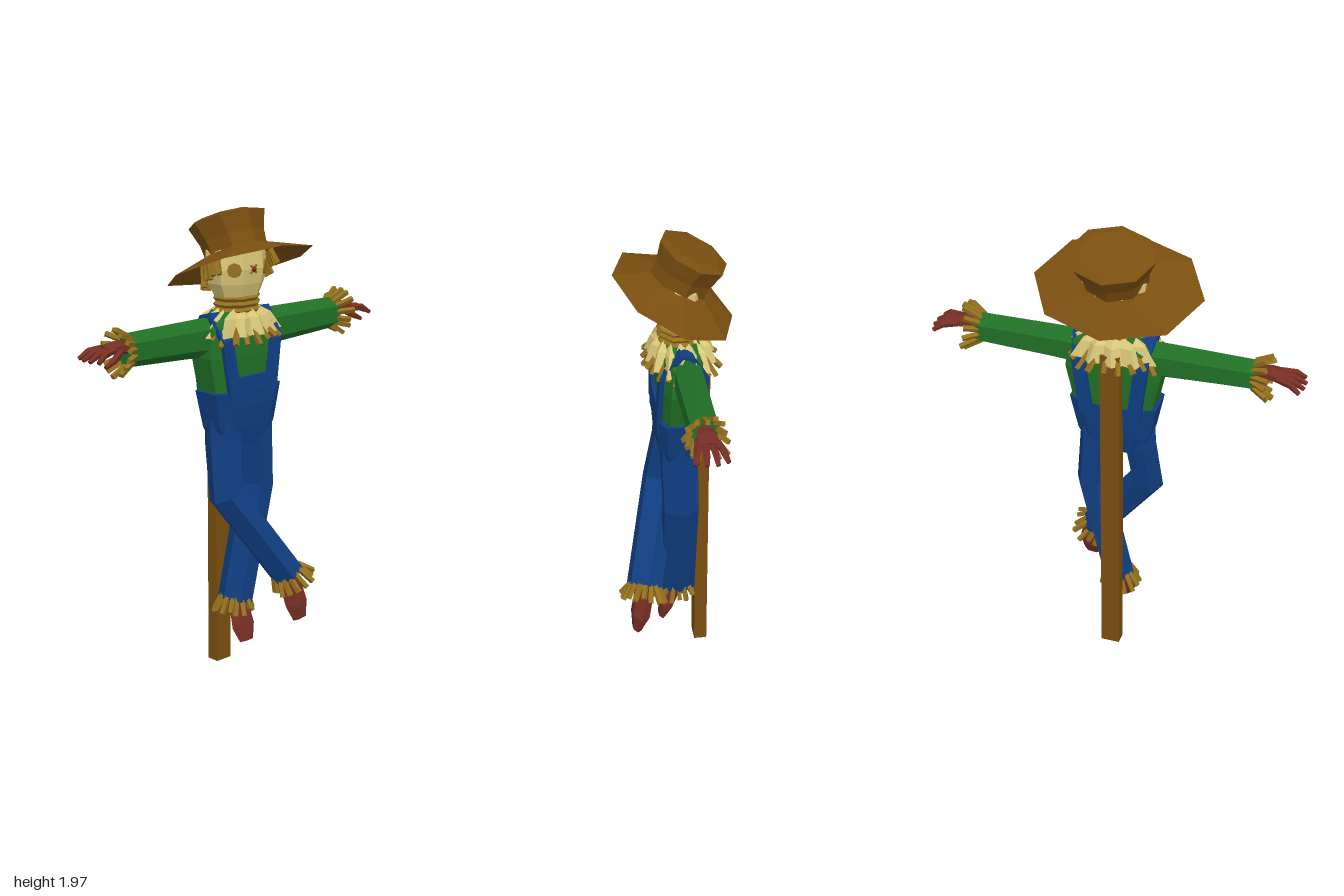
import * as THREE from 'three';

const mat = (name, color, side = THREE.FrontSide) => {
  const m = new THREE.MeshStandardMaterial({ color, side, flatShading: true });
  m.name = name;
  return m;
};
const V = (x, y, z) => new THREE.Vector3(x, y, z);

// Ring of points: centre + u cos + v sin; power < 1 makes it boxier, scale varies by index
function ring(c, u, v, n, phase = 0, power = 1, scale = () => 1) {
  const bend = (t) => Math.sign(t) * Math.abs(t) ** power;
  return Array.from({ length: n }, (_, i) => {
    const a = phase + (i / n) * Math.PI * 2, k = scale(i);
    return c.clone().addScaledVector(u, bend(Math.cos(a)) * k).addScaledVector(v, bend(Math.sin(a)) * k);
  });
}

// Skin through successive rings, optionally capped
function loft(rings, caps = true) {
  const pos = [];
  const tri = (...p) => p.forEach((q) => pos.push(q.x, q.y, q.z));
  const n = rings[0].length;
  for (let r = 0; r < rings.length - 1; r++) {
    for (let i = 0; i < n; i++) {
      const j = (i + 1) % n, A = rings[r], B = rings[r + 1];
      tri(A[i], A[j], B[j]);
      tri(A[i], B[j], B[i]);
    }
  }
  if (caps) {
    const first = rings[0], last = rings[rings.length - 1];
    for (let i = 1; i < n - 1; i++) {
      tri(first[0], first[i + 1], first[i]);
      tri(last[0], last[i], last[i + 1]);
    }
  }
  const g = new THREE.BufferGeometry();
  g.setAttribute('position', new THREE.Float32BufferAttribute(pos, 3));
  g.computeVertexNormals();
  return g;
}

// Upright body from [y, rx, rz, z] levels, bottom to top
const body = (levels, n, power = 1, caps = true, scale) =>
  loft(levels.map(([y, rx, rz, z]) =>
    ring(V(0, y, z), V(0, 0, rz), V(rx, 0, 0), n, Math.PI / n, power, scale)), caps);

// Limb through [x, y, z, ru, rv] stations; ru lies along the hint direction
function limb(stations, hint, n = 6, phase = 0) {
  const p = stations.map((s) => V(s[0], s[1], s[2]));
  return loft(stations.map((s, i) => {
    const t = p[Math.min(i + 1, p.length - 1)].clone().sub(p[Math.max(i - 1, 0)]).normalize();
    const u = hint.clone().addScaledVector(t, -hint.dot(t)).normalize();
    const v = t.clone().cross(u);
    return ring(p[i], u.multiplyScalar(s[3]), v.multiplyScalar(s[4]), n, phase);
  }));
}

export function createModel() {
  const model = new THREE.Group();
  model.name = 'scarecrow';
  const wood = mat('brown', 0x7a4e10);
  const hatBrown = mat('hat brown', 0x7a4e10, THREE.DoubleSide);
  const straw = mat('straw gold', 0x94701e);
  const sack = mat('sackcloth', 0xd8c678, THREE.DoubleSide);
  const green = mat('shirt green', 0x207026);
  const blue = mat('denim blue', 0x103e82);
  const red = mat('glove red', 0x762e24);
  const X = V(1, 0, 0), Y = V(0, 1, 0), Z = V(0, 0, 1);

  const add = (name, geo, material, parent = model) => {
    const m = new THREE.Mesh(geo, material);
    m.name = name;
    parent.add(m);
    return m;
  };
  let seed = 7;
  const rnd = () => (seed = (seed * 16807) % 2147483647) / 2147483647;

  // Fan of straws around an axis
  function fan(name, c, axis, u, v, count, len, flare, from = 0, sweep = Math.PI * 2, parent = model) {
    const group = new THREE.Group();
    group.name = name;
    parent.add(group);
    for (let i = 0; i < count; i++) {
      const a = from + ((i + 0.3 * rnd()) / count) * sweep;
      const rad = u.clone().multiplyScalar(Math.cos(a)).addScaledVector(v, Math.sin(a));
      const l = len * (0.75 + 0.5 * rnd());
      const dir = axis.clone().addScaledVector(rad.clone().normalize(), flare * (0.6 + 0.8 * rnd())).normalize();
      const s = add('straw', new THREE.BoxGeometry(0.018, l, 0.018), straw, group);
      s.position.copy(c).add(rad).addScaledVector(dir, l * 0.4);
      s.quaternion.setFromUnitVectors(Y, dir);
    }
  }

  // Post
  add('post', new THREE.BoxGeometry(0.08, 1.5, 0.055), wood).position.set(-0.01, 0.75, -0.128);

  // Shirt body and overalls
  add('shirtBody', body([[1.15, 0.165, 0.08, -0.025], [1.24, 0.175, 0.088, -0.028], [1.38, 0.205, 0.09, -0.03],
    [1.5, 0.19, 0.085, -0.035], [1.56, 0.1, 0.07, -0.035]], 8, 0.5), green);
  add('trouserSeat', body([[1.0, 0.12, 0.07, -0.018], [1.08, 0.158, 0.085, -0.018],
    [1.235, 0.19, 0.098, -0.02]], 8, 0.5), blue);
  add('bib', new THREE.BoxGeometry(0.24, 0.12, 0.03), blue).position.set(0, 1.235, 0.058);
  for (const s of [1, -1]) {
    add('strap', limb([[s * 0.1, 1.22, 0.066], [s * 0.135, 1.45, 0.058], [s * 0.14, 1.55, -0.02], [s * 0.14, 1.54, -0.06],
      [s * 0.13, 1.45, -0.12], [s * 0.1, 1.2, -0.118]].map((q) => [...q, 0.04, 0.014]), X, 4, Math.PI / 4), blue);
  }

  // Arms, gloves and cuff straw
  for (const s of [1, -1]) {
    const side = s > 0 ? 'left' : 'right';
    add(side + 'Sleeve', limb([[s * 0.08, 1.455, -0.043, 0.085, 0.065], [s * 0.26, 1.46, -0.043, 0.078, 0.062],
      [s * 0.58, 1.465, -0.043, 0.068, 0.06]], Y), green);
    fan(side + 'CuffStraw', V(s * 0.57, 1.465, -0.043), V(s, 0, 0), V(0, 0.058, 0), V(0, 0, 0.05), 14, 0.075, 0.55);
    add(side + 'Palm', limb([[s * 0.56, 1.475, -0.043, 0.026, 0.03], [s * 0.63, 1.485, -0.043, 0.026, 0.042],
      [s * 0.685, 1.48, -0.043, 0.018, 0.046]], Y), red);
    for (let i = 0; i < 4; i++) {
      const k = i - 1.5, reach = 0.775 - 0.012 * Math.abs(k);
      add(side + 'Finger', limb([[s * 0.66, 1.483, -0.043 + k * 0.022, 0.014, 0.013],
        [s * 0.72, 1.475, -0.043 + k * 0.032, 0.015, 0.014],
        [s * reach, 1.45, -0.043 + k * 0.041, 0.009, 0.009]], Y, 5), red);
    }
    add(side + 'Thumb', limb([[s * 0.62, 1.475, -0.015, 0.016, 0.014], [s * 0.67, 1.445, 0.0, 0.015, 0.014],
      [s * 0.715, 1.425, 0.005, 0.009, 0.009]], Y, 5), red);
  }

  // Crossed legs, ankle straw and feet
  add('leftLeg', limb([[-0.01, 0.3, -0.03, 0.07, 0.08], [0.105, 0.8, -0.025, 0.07, 0.082],
    [0.09, 1.02, -0.02, 0.07, 0.085], [0.085, 1.12, -0.02, 0.075, 0.085]], X), blue);
  add('rightLeg', limb([[0.14, 0.42, 0.135, 0.07, 0.08], [-0.115, 0.8, 0.03, 0.075, 0.08],
    [-0.095, 1.02, -0.01, 0.07, 0.085], [-0.085, 1.12, -0.015, 0.075, 0.085]], X), blue);
  fan('leftAnkleStraw', V(-0.01, 0.315, -0.03), V(-0.2, -1, 0).normalize(), V(0.058, 0, 0), V(0, 0, 0.058), 15, 0.07, 0.5);
  fan('rightAnkleStraw', V(0.14, 0.425, 0.135), V(0.45, -0.82, 0.25).normalize(),
    V(0.054, 0.026, 0), V(0, 0.015, 0.06), 15, 0.07, 0.5);
  add('leftFoot', limb([[-0.01, 0.13, 0.042, 0.038, 0.017], [-0.01, 0.19, 0.022, 0.062, 0.028],
    [-0.01, 0.26, 0, 0.056, 0.033], [-0.01, 0.34, -0.02, 0.045, 0.035]], X), red);
  add('rightFoot', limb([[0.178, 0.22, 0.175, 0.04, 0.02], [0.17, 0.29, 0.158, 0.062, 0.042],
    [0.155, 0.37, 0.142, 0.056, 0.042], [0.13, 0.45, 0.125, 0.045, 0.035]], X), red);

  // Ragged collar, rope neck and head
  add('collar', body([[1.465, 0.215, 0.138, -0.035], [1.535, 0.16, 0.115, -0.035], [1.57, 0.09, 0.075, -0.03]],
    28, 1, false, (i) => (i % 2 ? 0.86 : 1.04)), sack);
  fan('collarStraw', V(0, 1.49, -0.035), V(0, -0.75, 0), V(0.165, 0, 0), V(0, 0, 0.105), 24, 0.075, 0.65);
  for (let i = 0; i < 3; i++) {
    const y = 1.55 + i * 0.025;
    add('neckRope', body([[y - 0.004, 0.095, 0.078, -0.028], [y + 0.01, 0.108, 0.09, -0.028],
      [y + 0.023, 0.095, 0.078, -0.028]], 8), straw);
  }
  add('head', body([[1.6, 0.095, 0.075, -0.028], [1.67, 0.13, 0.1, -0.03], [1.73, 0.14, 0.108, -0.03],
    [1.8, 0.138, 0.105, -0.035], [1.84, 0.1, 0.08, -0.045]], 8), sack);
  for (const s of [1, -1]) {
    const eye = add('eye', new THREE.CylinderGeometry(0.03, 0.03, 0.008, 8).rotateX(Math.PI / 2), straw);
    eye.position.set(s * 0.084, 1.73, 0.047);
    eye.rotation.y = s * 0.645;
    const stitch = add('noseStitch', new THREE.BoxGeometry(0.045, 0.007, 0.008), straw);
    stitch.position.set(0, 1.73, 0.07);
    stitch.rotation.z = s * Math.PI / 4;
  }
  add('nose', new THREE.OctahedronGeometry(0.015), red).position.set(0, 1.73, 0.073);

  // Tilted hat with hair under the brim
  const hat = new THREE.Group();
  hat.name = 'hat';
  hat.position.set(0, 1.735, -0.007);
  hat.rotation.x = -0.42;
  model.add(hat);
  const level = (y, rx, rz) => ring(V(0, y, 0), V(0, 0, rz), V(rx, 0, 0), 8);
  add('brim', loft([level(0, 0.348, 0.26), level(0.065, 0.132, 0.125)], false), hatBrown, hat);
  add('crown', loft([level(0.06, 0.132, 0.125), level(0.12, 0.142, 0.125), level(0.198, 0.176, 0.142),
    level(0.212, 0.13, 0.105)]), hatBrown, hat);
  fan('hair', V(0, 0.035, 0), V(0, -1, 0), V(0.155, 0, 0), V(0, 0, -0.13), 22, 0.085, 0.25,
    -0.45, Math.PI + 0.9, hat);

  return model;
}
